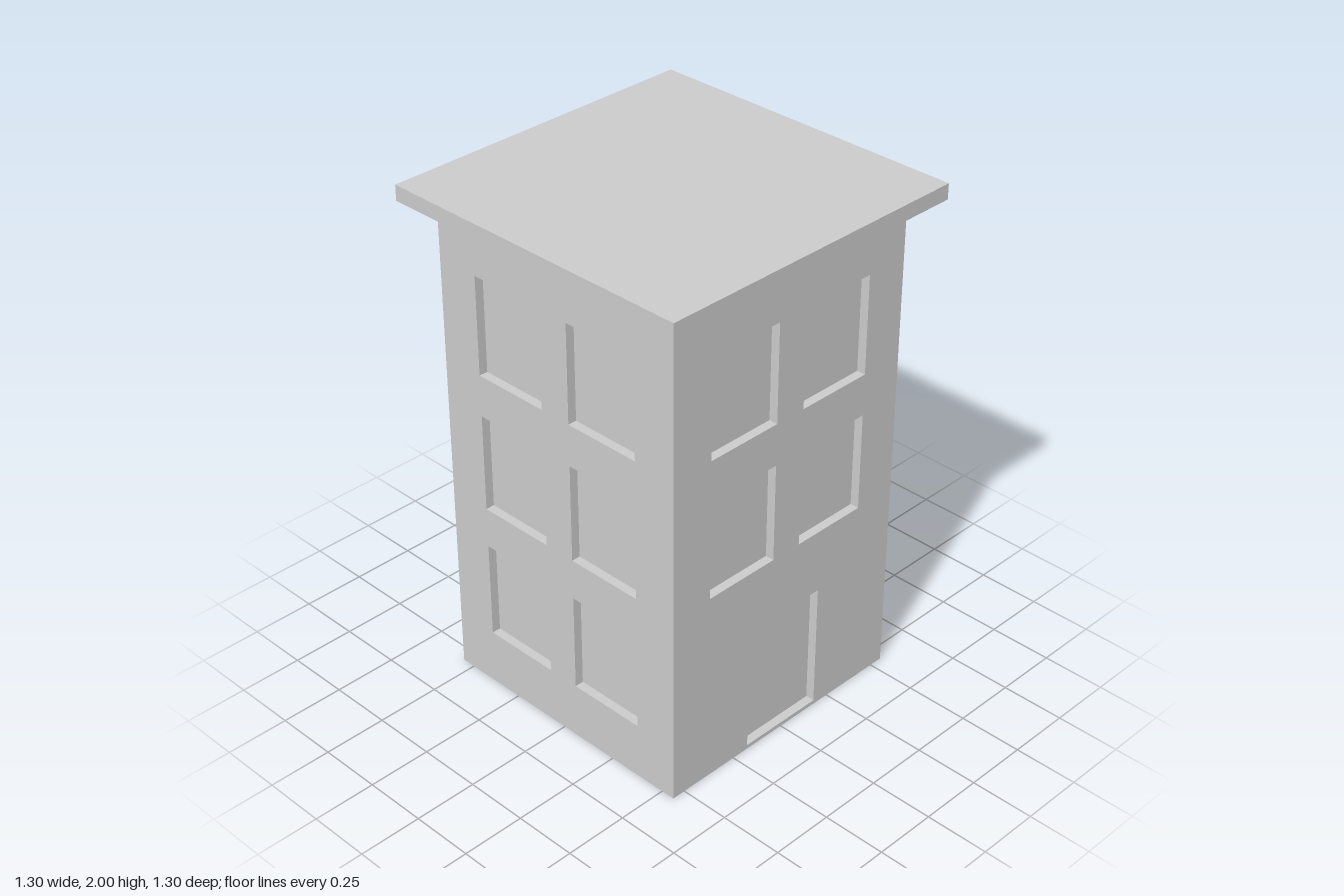
import * as THREE from 'three';

const HALF = 0.555;    // half width of the tower
const HEIGHT = 1.94;   // wall height, up to the roof slab
const RECESS = 0.035;  // depth of the window and door openings

const material = new THREE.MeshStandardMaterial({ color: 0xcccccc });

function rectangle(PathType, x0, x1, y0, y1) {
  const path = new PathType();
  path.moveTo(x0, y0);
  path.lineTo(x1, y0);
  path.lineTo(x1, y1);
  path.lineTo(x0, y1);
  path.closePath();
  return path;
}

// Wall panel with openings; its back is narrowed so corners meet in a mitre
function wallGeometry(hasDoor) {
  const shape = rectangle(THREE.Shape, -HALF, HALF, 0, HEIGHT);
  [0.42, 0.972, 1.528].forEach((y, floor) => {
    if (hasDoor && floor === 0) {
      shape.holes.push(rectangle(THREE.Path, -0.178, 0.178, 0.016, 0.52));
      return;
    }
    for (const x of [-0.222, 0.222]) {
      shape.holes.push(rectangle(THREE.Path, x - 0.157, x + 0.157, y - 0.195, y + 0.195));
    }
  });
  const geometry = new THREE.ExtrudeGeometry(shape, { depth: RECESS, bevelEnabled: false });
  const p = geometry.attributes.position;
  for (let i = 0; i < p.count; i++) {
    if (p.getZ(i) < 0.001 && Math.abs(p.getX(i)) > HALF - 0.01) {
      p.setX(i, Math.sign(p.getX(i)) * (HALF - RECESS));
    }
  }
  geometry.translate(0, 0, HALF - RECESS);
  geometry.computeVertexNormals();
  return geometry;
}

function addBox(group, name, width, height, y) {
  const mesh = new THREE.Mesh(new THREE.BoxGeometry(width, height, width), material);
  mesh.name = name;
  mesh.position.y = y;
  group.add(mesh);
}

export function createModel() {
  const building = new THREE.Group();
  building.name = 'building';

  // Core whose faces form the recessed window panes and door
  addBox(building, 'recessedPanes', 2 * (HALF - RECESS), HEIGHT, HEIGHT / 2);

  // Four walls, the front one with the door
  ['frontWall', 'leftWall', 'backWall', 'rightWall'].forEach((name, i) => {
    const wall = new THREE.Mesh(wallGeometry(i === 0), material);
    wall.name = name;
    wall.rotation.y = (i * Math.PI) / 2;
    building.add(wall);
  });

  // Flat overhanging roof
  addBox(building, 'roofSlab', 1.3, 2 - HEIGHT, (2 + HEIGHT) / 2);

  return building;
}
